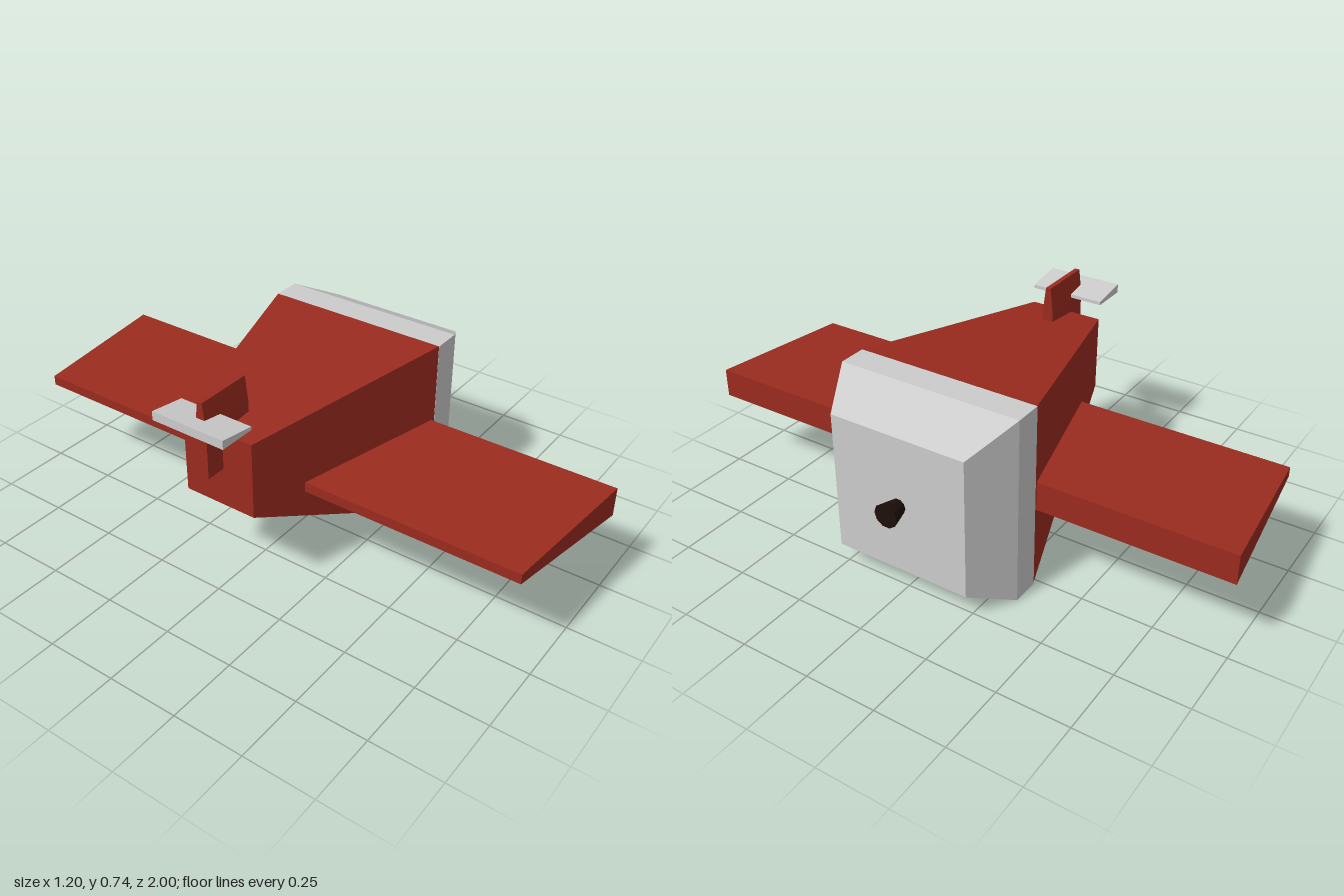
import * as THREE from 'three';

const red = new THREE.MeshStandardMaterial({ color: 0x9a2b1f, flatShading: true });
const grey = new THREE.MeshStandardMaterial({ color: 0xcccccc, flatShading: true });
const dark = new THREE.MeshStandardMaterial({ color: 0x1e0f0a, flatShading: true });

// Closed solid through rectangular sections [x, bottom, top, halfWidth], ordered by rising x
function loft(sections) {
  const pos = [], index = [];
  for (const [x, y0, y1, w] of sections) {
    pos.push(x, y0, -w, x, y1, -w, x, y1, w, x, y0, w);
  }
  const quad = (a, b, c, d) => index.push(a, b, c, a, c, d);
  const last = (sections.length - 1) * 4;
  for (let s = 0; s < last; s += 4) {
    for (let j = 0; j < 4; j++) {
      const k = (j + 1) % 4;
      quad(s + j, s + k, s + 4 + k, s + 4 + j);
    }
  }
  quad(3, 2, 1, 0);
  quad(last, last + 1, last + 2, last + 3);
  const geo = new THREE.BufferGeometry();
  geo.setAttribute('position', new THREE.Float32BufferAttribute(pos, 3));
  geo.setIndex(index);
  const flat = geo.toNonIndexed();
  flat.computeVertexNormals();
  return flat;
}

export function createModel() {
  const plane = new THREE.Group();
  plane.name = 'airplane';
  const add = (name, geometry, material) => {
    const mesh = new THREE.Mesh(geometry, material);
    mesh.name = name;
    plane.add(mesh);
    return mesh;
  };

  // Body tapering to the tail, and the blunt engine cowl with its chamfered nose
  add('fuselage', loft([[-0.47, 0.332, 0.6, 0.133], [0.27, 0.002, 0.668, 0.331]]), red);
  add('engineCowl', loft([
    [0.27, 0, 0.668, 0.332], [0.37, 0, 0.668, 0.332], [0.535, 0.088, 0.583, 0.248],
  ]), grey);

  // One wedge-shaped wing running through the body, thicker at the leading edge
  add('wing', loft([[-0.275, 0.34, 0.375, 0.945], [0.257, 0.284, 0.388, 1]]), red);

  // Tailplane, thicker at the rear
  add('tailplane', loft([[-0.6, 0.655, 0.686, 0.135], [-0.47, 0.655, 0.667, 0.135]]), grey);

  // Fin, pinched towards its top edge
  const fin = new THREE.BoxGeometry(0.2, 0.265, 0.04, 1, 3, 1);
  const p = fin.attributes.position;
  for (let i = 0; i < p.count; i++) {
    if (p.getY(i) > 0.1) p.setZ(i, p.getZ(i) * 0.45);
  }
  fin.computeVertexNormals();
  add('tailFin', fin, red).position.set(-0.44, 0.6025, 0);

  // Propeller hub, flaring outwards
  const hub = add('propellerHub', new THREE.CylinderGeometry(0.043, 0.027, 0.065, 10), dark);
  hub.rotation.z = -Math.PI / 2;
  hub.position.set(0.5665, 0.335, 0);

  return plane;
}
